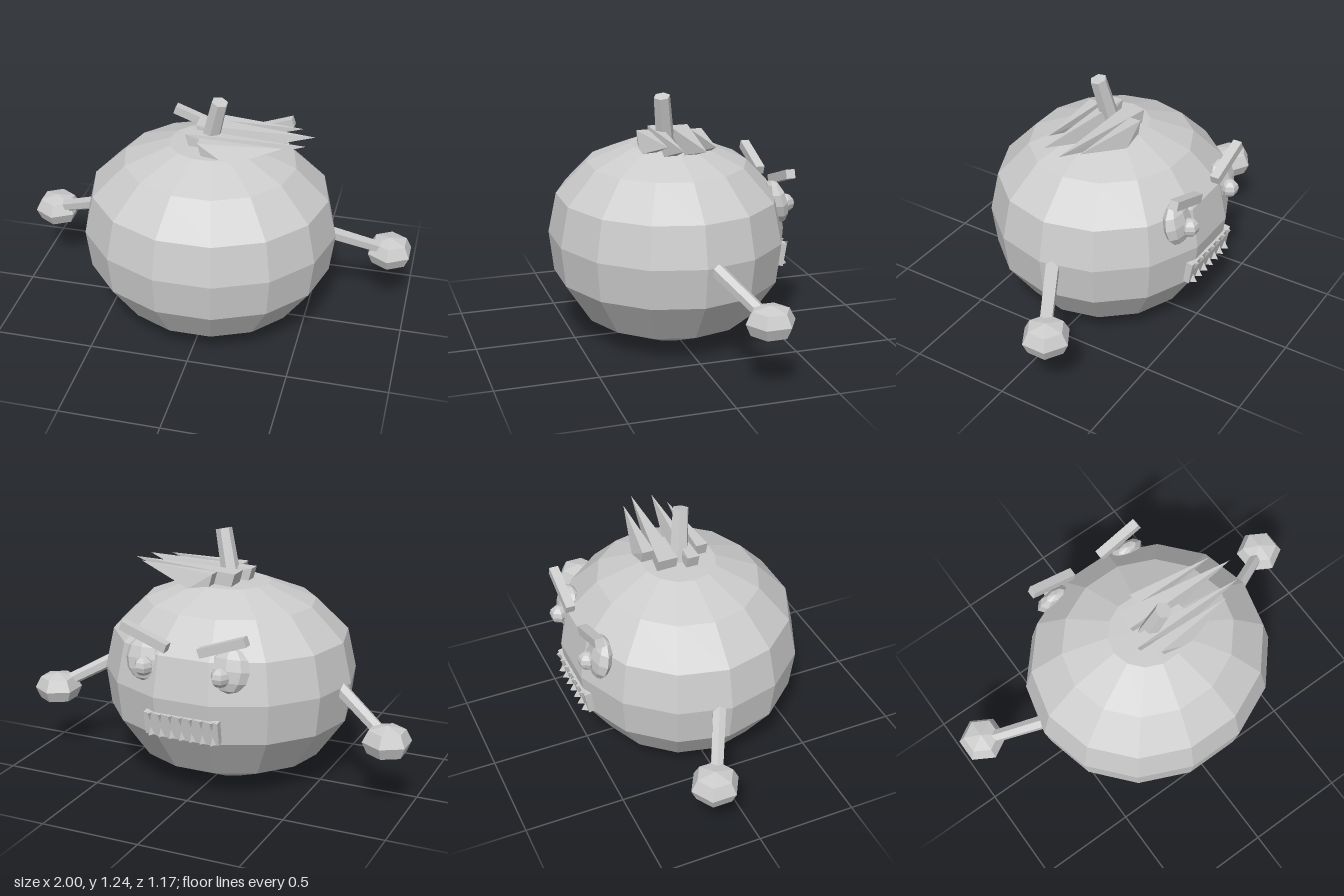
import * as THREE from 'three';
import { ConvexGeometry } from 'three/addons/geometries/ConvexGeometry.js';

const grey = new THREE.MeshStandardMaterial({ color: 0xcccccc, flatShading: true });
grey.name = 'plain grey';

const V = (x, y, z) => new THREE.Vector3(x, y, z);

export function createModel() {
  const model = new THREE.Group();
  model.name = 'pumpkinCreature';

  function add(name, geometry, x = 0, y = 0, z = 0) {
    const mesh = new THREE.Mesh(geometry, grey);
    mesh.name = name;
    mesh.position.set(x, y, z);
    model.add(mesh);
    return mesh;
  }

  // Tapered rod between two points
  function rod(name, a, b, ra, rb, sides) {
    const mesh = add(name, new THREE.CylinderGeometry(rb, ra, a.distanceTo(b), sides));
    mesh.position.copy(a).add(b).multiplyScalar(0.5);
    mesh.quaternion.setFromUnitVectors(V(0, 1, 0), b.clone().sub(a).normalize());
    return mesh;
  }

  function lathe(profile, sides, start) {
    return new THREE.LatheGeometry(profile.map(([r, y]) => new THREE.Vector2(r, y)), sides, start);
  }

  // Round body, slightly flattened front to back
  const body = add('body', lathe([
    [0, 0], [0.19, 0], [0.47, 0.125], [0.615, 0.33], [0.64, 0.53],
    [0.595, 0.73], [0.43, 0.89], [0.2, 0.98], [0, 0.985],
  ], 14, Math.PI / 14), 0, 0, 0.015);
  body.scale.z = 0.922;

  // Leaning stem
  rod('stem', V(-0.01, 0.95, 0.015), V(0.057, 1.225, 0.055), 0.048, 0.041, 6);

  // Swept leaves: [back x, back z, belly x, belly z, tip x, tip z]
  const leaves = [
    [0.02, -0.13, 0.15, -0.13, 0.44, -0.09],
    [-0.08, -0.07, 0.2, -0.04, 0.51, -0.02],
    [-0.11, 0.05, 0.2, 0.06, 0.48, 0.08],
    [-0.03, 0.13, 0.12, 0.15, 0.38, 0.125],
  ];
  leaves.forEach(([bx, bz, mx, mz, tx, tz], i) => {
    const w = i === 1 ? 0.05 : 0.03;
    add('leaf' + (i + 1), new ConvexGeometry([
      V(tx, 1.053, tz),
      V(bx, 1.045, bz - w), V(bx, 1.045, bz + w),
      V(bx + 0.02, 0.975, bz - w), V(bx + 0.02, 0.975, bz + w),
      V(mx, 0.96, mz - 0.035), V(mx, 0.96, mz + 0.035),
    ]));
  });

  const handProfile = [[0, 0.268], [0.095, 0.293], [0.12, 0.35], [0.09, 0.408], [0, 0.428]];

  for (const [side, s] of [['left', 1], ['right', -1]]) {
    // Arm and faceted hand
    rod(side + 'Arm', V(s * 0.57, 0.535, -0.02), V(s * 0.89, 0.36, -0.185), 0.036, 0.032, 6);
    add(side + 'Hand', lathe(handProfile, 6, 0), s * 0.896, 0, -0.195);

    // Eye and pupil
    const eye = add(side + 'Eye', new THREE.SphereGeometry(1, 8, 6), s * 0.22, 0.695, -0.485);
    eye.scale.set(0.102, 0.11, 0.05);
    eye.rotation.x = 0.22;
    add(side + 'Pupil', new THREE.SphereGeometry(0.047, 6, 6), s * 0.198, 0.675, -0.543);

    // Brow slanting down toward the middle
    const brow = add(side + 'Brow', new THREE.BoxGeometry(0.25, 0.045, 0.046), s * 0.202, 0.815, -0.518);
    brow.rotation.z = s * 0.35;
  }

  // Mouth plate leaning with the body
  const mouth = add('mouth', new THREE.BoxGeometry(0.385, 0.116, 0.035), 0, 0.398, -0.537);
  mouth.rotation.x = -0.16;

  // Two rows of three-sided teeth
  const tooth = new THREE.ConeGeometry(0.035, 0.06, 3);
  for (let i = 0; i < 7; i++) {
    const x = (i - 3) * 0.054;
    const lower = add('lowerTooth', tooth, x, 0.37, -0.54);
    lower.rotation.y = Math.PI;
    const upper = add('upperTooth', tooth, x, 0.425, -0.548);
    upper.rotation.x = Math.PI;
  }

  return model;
}
